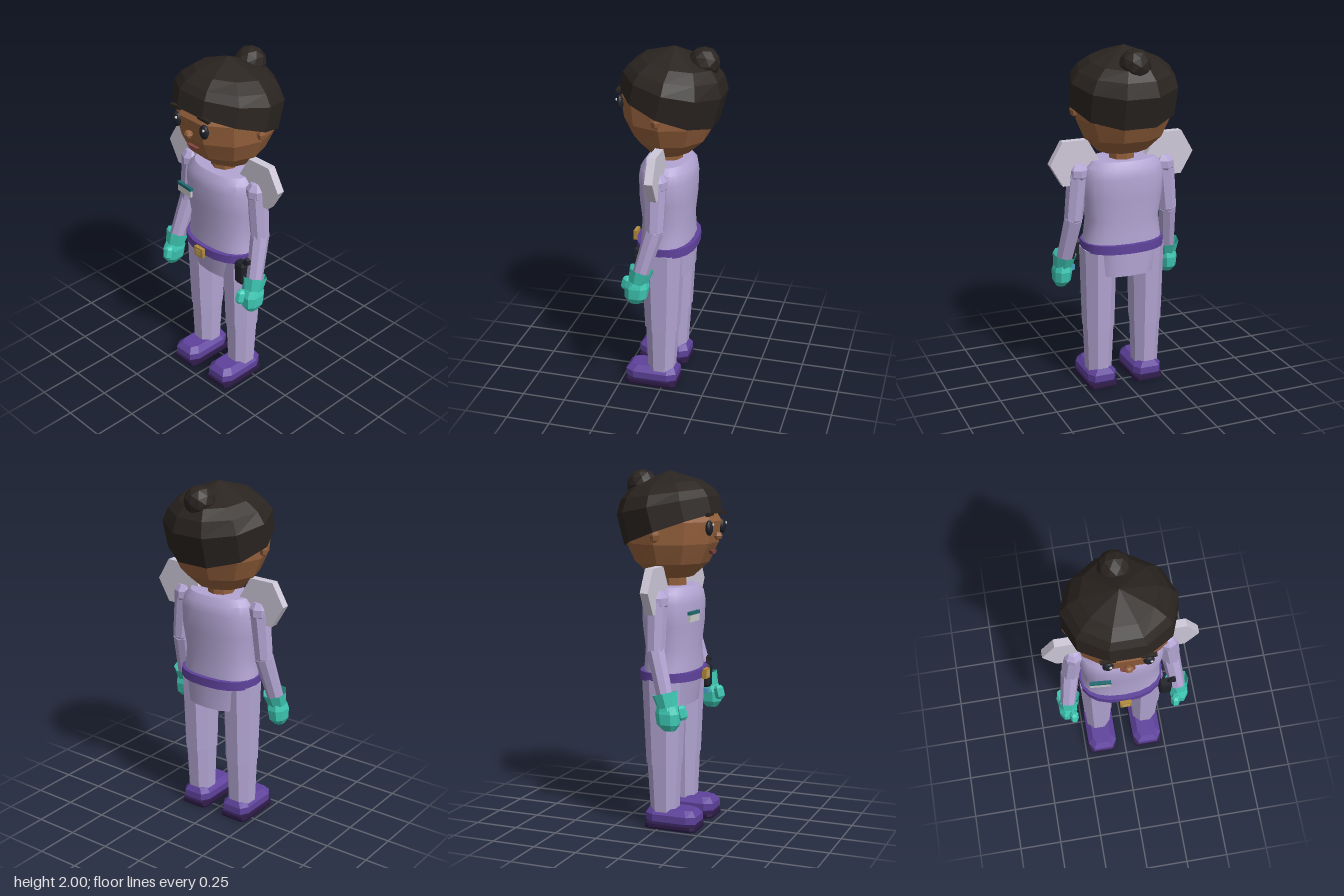
import * as THREE from 'three';
import { toCreasedNormals } from 'three/addons/utils/BufferGeometryUtils.js';

const SKIN = 0x94603c, HAIR = 0x2a2420, SUIT = 0xb3a5d3, PURPLE = 0x5f429c, SOLE = 0x2c1a45;
const TEAL = 0x3fcab6, BLACK = 0x20222a, GOLD = 0xb08a3c, WING = 0xcfc9d9;

function add(parent, name, geo, color, pos = [0, 0, 0], smooth = false) {
  const mat = new THREE.MeshStandardMaterial({ color, flatShading: !smooth, side: THREE.DoubleSide });
  const mesh = new THREE.Mesh(smooth ? toCreasedNormals(geo, 0.6) : geo, mat);
  mesh.name = name;
  mesh.position.set(...pos);
  parent.add(mesh);
  return mesh;
}

// Skin over stacked cross-sections [y, halfWidth, halfDepth, centreX, centreZ, slope], bottom to top.
// A power below 1 squares the outline; slope raises the ring's front edge.
function loft(rings, n, power = 1, phase = 0, capped = true) {
  const curve = (v) => Math.sign(v) * Math.abs(v) ** power;
  const unit = [];
  for (let i = 0; i < n; i++) {
    const a = phase + (i / n) * Math.PI * 2;
    unit.push([curve(Math.cos(a)), curve(Math.sin(a))]);
  }
  const mx = Math.max(...unit.map((p) => p[0])), mz = Math.max(...unit.map((p) => p[1]));
  const pos = [], index = [];
  for (const [y, rx, rz, cx = 0, cz = 0, slope = 0] of rings) {
    for (const [ux, uz] of unit) {
      const dz = (uz / mz) * rz;
      pos.push(cx + (ux / mx) * rx, y + slope * dz, cz + dz);
    }
  }
  for (let r = 0; r < rings.length - 1; r++) {
    for (let i = 0; i < n; i++) {
      const a = r * n + i, b = r * n + ((i + 1) % n);
      index.push(a, a + n, b, b, a + n, b + n);
    }
  }
  if (capped) {
    const top = (rings.length - 1) * n, c = pos.length / 3;
    for (const ring of [rings[0], rings[rings.length - 1]]) pos.push(ring[3] ?? 0, ring[0], ring[4] ?? 0);
    for (let i = 0; i < n; i++) {
      const j = (i + 1) % n;
      index.push(c, i, j, c + 1, top + j, top + i);
    }
  }
  const geo = new THREE.BufferGeometry();
  geo.setAttribute('position', new THREE.Float32BufferAttribute(pos, 3));
  geo.setIndex(index);
  geo.computeVertexNormals();
  return geo;
}

// Tapered cylinder from point a to point b.
function limb(parent, name, a, b, ra, rb, color, sides = 8, open = false) {
  const A = new THREE.Vector3(...a), B = new THREE.Vector3(...b);
  const dir = B.clone().sub(A);
  const geo = new THREE.CylinderGeometry(rb, ra, dir.length(), sides, 1, open);
  const mesh = add(parent, name, geo, color, A.clone().lerp(B, 0.5).toArray());
  mesh.quaternion.setFromUnitVectors(new THREE.Vector3(0, 1, 0), dir.normalize());
  return mesh;
}

const box = (w, h, d) => new THREE.BoxGeometry(w, h, d);
const ball = (rx, ry, rz, w = 8, h = 6) => new THREE.SphereGeometry(1, w, h).scale(rx, ry, rz);

function buildHead(root) {
  const head = new THREE.Group();
  head.name = 'head';
  root.add(head);
  add(head, 'face', loft([
    [1.41, 0.145, 0.11], [1.49, 0.225, 0.195], [1.6, 0.273, 0.245],
    [1.72, 0.28, 0.26], [1.83, 0.23, 0.2],
  ], 10), SKIN);
  add(head, 'neck', new THREE.CylinderGeometry(0.075, 0.075, 0.12, 8), SKIN, [0, 1.38, 0.01]);
  add(head, 'hair', loft([
    [1.67, 0.303, 0.258, 0, 0.008, 0.36], [1.803, 0.306, 0.27, 0, -0.026, 0.2],
    [1.865, 0.266, 0.245, 0, -0.03, 0.13], [1.915, 0.2, 0.195, 0, -0.04, 0.13],
    [1.995, 0, 0, 0, -0.02],
  ], 10, 1, 0, false), HAIR);
  add(head, 'hairBun', new THREE.IcosahedronGeometry(0.088, 1), HAIR, [0, 1.912, -0.18]);
  add(head, 'nose', ball(0.027, 0.024, 0.024, 6, 4), SKIN, [0, 1.64, 0.272]);
  // Half-moon mouth
  const lips = new THREE.Shape().moveTo(-0.04, 0.01).lineTo(-0.02, -0.009).lineTo(0.02, -0.009).lineTo(0.04, 0.01);
  add(head, 'mouth', new THREE.ExtrudeGeometry(lips, { depth: 0.02, bevelEnabled: false }), 0x81443f, [0, 1.55, 0.23]);
  for (const s of [1, -1]) {
    add(head, 'ear', ball(0.025, 0.042, 0.03, 6, 4), SKIN, [s * 0.28, 1.655, 0.01]);
    add(head, 'eye', ball(0.03, 0.042, 0.02, 10, 8), BLACK, [s * 0.105, 1.688, 0.258], true);
    add(head, 'eyeHighlight', ball(0.009, 0.009, 0.007, 6, 4), 0xf0f0f0, [s * 0.105 + 0.012, 1.705, 0.275]);
    const brow = add(head, 'eyebrow', box(0.08, 0.018, 0.02), HAIR, [s * 0.105, 1.762, 0.26]);
    brow.rotation.z = -s * 0.08;
  }
}

function buildBody(root) {
  const z = 0.012;
  add(root, 'torso', loft([
    [0.86, 0.235, 0.146, 0, z], [0.93, 0.222, 0.145, 0, z], [1.02, 0.212, 0.14, 0, z],
    [1.15, 0.236, 0.153, 0, z], [1.27, 0.24, 0.156, 0, z], [1.325, 0.225, 0.147, 0, z], [1.362, 0.19, 0.12, 0, z],
  ], 20, 0.85), SUIT, [0, 0, 0], true);
  add(root, 'pelvis', loft([[0.7, 0.18, 0.135, 0, 0], [0.86, 0.215, 0.145, 0, 0.008]], 16, 0.8), SUIT, [0, 0, 0], true);
  add(root, 'belt', loft([[0.842, 0.24, 0.172, 0, z], [0.892, 0.24, 0.172, 0, z]], 20, 0.85), PURPLE, [0, 0, 0], true);
  add(root, 'buckle', box(0.066, 0.056, 0.022), GOLD, [0, 0.868, 0.205]);
  add(root, 'buckleInset', box(0.04, 0.034, 0.006), 0xc9a355, [0, 0.868, 0.216]);

  // Plain chest tag
  const tag = new THREE.Group();
  tag.name = 'chestTag';
  tag.position.set(-0.138, 1.208, 0.182);
  tag.rotation.y = -0.08;
  root.add(tag);
  add(tag, 'tagPlate', box(0.115, 0.056, 0.014), 0xc4c2c0);
  add(tag, 'tagStrip', box(0.117, 0.018, 0.018), 0x1f6a72, [0, 0.02, 0]);

  // Hand radio clipped to the left side of the belt
  const radio = new THREE.Group();
  radio.name = 'radio';
  radio.position.set(0.245, 0.81, 0.115);
  root.add(radio);
  add(radio, 'radioCase', loft([
    [-0.07, 0.026, 0.018], [-0.055, 0.035, 0.028], [0.05, 0.036, 0.028], [0.068, 0.028, 0.02],
  ], 8, 0.45, Math.PI / 8), BLACK);
  limb(radio, 'radioAerial', [0.015, 0.05, 0], [0.045, 0.105, 0], 0.014, 0.014, BLACK, 6);
  add(radio, 'radioKnob', box(0.035, 0.025, 0.025), BLACK, [0.042, 0.085, 0]);
  add(radio, 'radioLight', box(0.04, 0.03, 0.03), 0x4a9fc4, [0.03, -0.1, -0.01]);
}

function buildArm(root, s) {
  const arm = new THREE.Group();
  arm.name = s > 0 ? 'leftArm' : 'rightArm';
  root.add(arm);
  const P = (x, y, z) => [s * x, y, z];
  add(arm, 'shoulder', ball(0.064, 0.066, 0.068, 8, 5), SUIT, P(0.258, 1.297, 0.015));
  limb(arm, 'upperArm', P(0.26, 1.29, 0.015), P(0.287, 1.03, 0.018), 0.06, 0.053, SUIT);
  add(arm, 'elbow', ball(0.052, 0.05, 0.052, 8, 4), SUIT, P(0.287, 1.03, 0.018));
  limb(arm, 'forearm', P(0.287, 1.03, 0.018), P(0.322, 0.755, 0.095), 0.053, 0.045, SUIT);
  limb(arm, 'gloveCuff', P(0.318, 0.805, 0.084), P(0.324, 0.73, 0.104), 0.07, 0.056, TEAL, 8, true);
  limb(arm, 'gloveWrist', P(0.324, 0.76, 0.1), P(0.326, 0.715, 0.108), 0.045, 0.057, TEAL);

  // Gloved hand: mitten and thumb
  add(arm, 'hand', loft([
    [0.605, 0.026, 0.032, s * 0.333, 0.118], [0.64, 0.046, 0.06, s * 0.331, 0.112],
    [0.7, 0.052, 0.065, s * 0.328, 0.108], [0.74, 0.045, 0.052, s * 0.325, 0.103],
  ], 8, 0.8, Math.PI / 8), TEAL);
  const thumb = add(arm, 'thumb', loft([
    [-0.04, 0.014, 0.014], [-0.025, 0.026, 0.026], [0.025, 0.026, 0.026], [0.04, 0.014, 0.014],
  ], 6), TEAL, P(0.3, 0.7, 0.176));
  thumb.rotation.x = -0.25;
}

function buildLeg(root, s) {
  const leg = new THREE.Group();
  leg.name = s > 0 ? 'leftLeg' : 'rightLeg';
  root.add(leg);
  const x = s * 0.146, half = Math.PI / 8;
  add(leg, 'thigh', loft([[0.37, 0.084, 0.094, x, 0.012], [0.85, 0.094, 0.115, x, 0.01]], 8, 0.9, half), SUIT);
  add(leg, 'shin', loft([[0.09, 0.07, 0.075, x, 0.016], [0.4, 0.081, 0.09, x, 0.012]], 8, 0.9, half), SUIT);
  const sx = s * 0.142, sz = 0.07;
  add(leg, 'sole', loft([
    [0, 0.084, 0.148, sx, sz], [0.012, 0.088, 0.151, sx, sz], [0.028, 0.086, 0.149, sx, sz],
  ], 8, 0.22, half), SOLE);
  add(leg, 'shoe', loft([
    [0.028, 0.072, 0.135, sx, sz], [0.045, 0.087, 0.15, sx, sz],
    [0.085, 0.087, 0.15, sx, sz], [0.116, 0.056, 0.128, sx, sz - 0.005],
  ], 8, 0.45, half), PURPLE);
}

export function createModel() {
  const root = new THREE.Group();
  root.name = 'figure';
  buildHead(root);
  buildBody(root);
  for (const s of [1, -1]) {
    buildArm(root, s);
    buildLeg(root, s);
    // Flat hexagonal plate behind each shoulder
    const plate = new THREE.CylinderGeometry(0.145, 0.145, 0.046, 6).rotateY(Math.PI / 6 + Math.PI / 3).rotateX(Math.PI / 2);
    add(root, s > 0 ? 'leftShoulderPlate' : 'rightShoulderPlate', plate, WING, [s * 0.283, 1.357, 0.01]);
  }
  return root;
}
